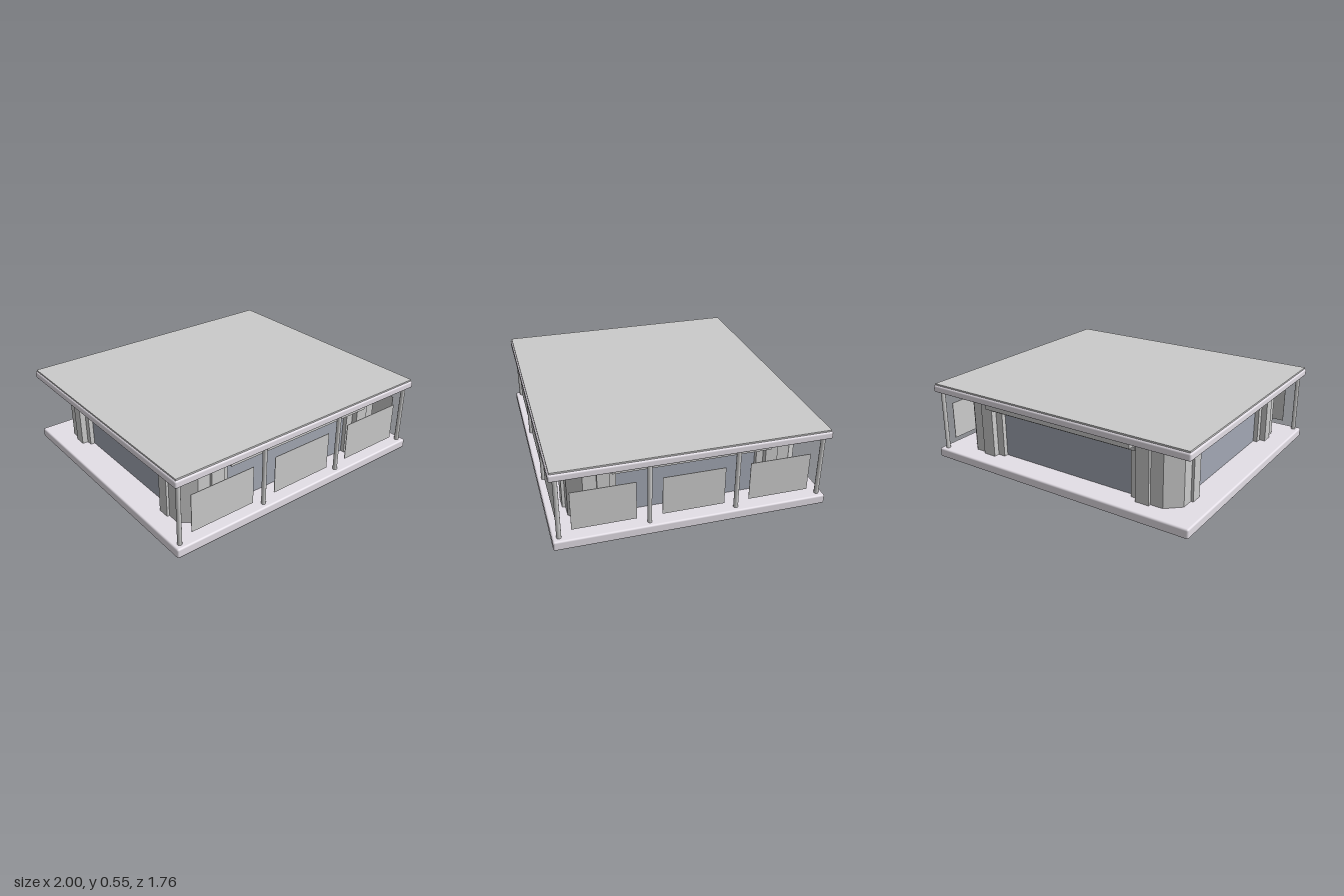
import * as THREE from 'three';
import { RoundedBoxGeometry } from 'three/addons/geometries/RoundedBoxGeometry.js';

const BASE_TOP = 0.065, ROOF_BOTTOM = 0.485;

const grey = new THREE.MeshStandardMaterial({ color: 0xcccccc });
const flatGrey = new THREE.MeshStandardMaterial({ color: 0xcccccc, flatShading: true });
const slabMat = new THREE.MeshStandardMaterial({ color: 0xe4dfe7 });
const glassMat = new THREE.MeshStandardMaterial({ color: 0xa3a8b4 });

export function createModel() {
  const model = new THREE.Group();
  model.name = 'pavilion';

  function add(name, geometry, material, x, y, z) {
    const mesh = new THREE.Mesh(geometry, material);
    mesh.name = name;
    mesh.position.set(x, y, z);
    model.add(mesh);
    return mesh;
  }
  // box given by its size and its bottom and top heights
  function box(name, material, w, d, y0, y1, x = 0, z = 0) {
    return add(name, new THREE.BoxGeometry(w, y1 - y0, d), material, x, (y0 + y1) / 2, z);
  }
  function slab(name, y0, y1) {
    add(name, new RoundedBoxGeometry(2, y1 - y0, 1.76, 2, 0.012), slabMat, 0, (y0 + y1) / 2, 0);
  }

  // floor and roof slabs, with a thin roof covering
  slab('baseSlab', 0, BASE_TOP);
  slab('roofSlab', ROOF_BOTTOM, 0.535);
  box('roofCover', grey, 1.98, 1.74, 0.53, 0.545);

  // glazed inner room
  box('windowWalls', glassMat, 1.6, 1.4, BASE_TOP, ROOF_BOTTOM);

  // corner piers: jamb, pilaster, chamfered corner, pilaster, jamb
  const pier = [
    [0.52, 0.455], [0.52, 0.73], [0.575, 0.73], [0.575, 0.77], [0.67, 0.77],
    [0.67, 0.75], [0.757, 0.75], [0.853, 0.664], [0.853, 0.58], [0.87, 0.58],
    [0.87, 0.5], [0.83, 0.5], [0.83, 0.455],
  ];
  for (const sx of [-1, 1]) {
    for (const sz of [-1, 1]) {
      const shape = new THREE.Shape(pier.map(([x, z]) => new THREE.Vector2(sx * x, -sz * z)));
      const geometry = new THREE.ExtrudeGeometry(shape, { depth: ROOF_BOTTOM - BASE_TOP, bevelEnabled: false });
      geometry.rotateX(-Math.PI / 2);
      add('cornerPier', geometry, flatGrey, 0, BASE_TOP, 0);
    }
  }

  // stepped cornices above the windows on all four sides
  for (const s of [-1, 1]) {
    box('cornice', grey, 1.14, 0.15, 0.435, ROOF_BOTTOM, 0, s * 0.755);
    box('corniceStep', grey, 1.14, 0.09, 0.4, 0.425, 0, s * 0.725);
    box('lintel', grey, 1.04, 0.03, 0.41, 0.45, 0, s * 0.705);
    box('cornice', grey, 0.15, 1, 0.435, ROOF_BOTTOM, s * 0.86, 0);
    box('corniceStep', grey, 0.09, 1, 0.4, 0.425, s * 0.83, 0);
    box('lintel', grey, 0.03, 0.91, 0.41, 0.45, s * 0.805, 0);
  }

  // slim posts along the front and left sides
  const postGeometry = new THREE.CylinderGeometry(0.015, 0.015, ROOF_BOTTOM - BASE_TOP + 0.01, 12);
  const postY = (BASE_TOP + ROOF_BOTTOM) / 2;
  for (const x of [-0.957, -0.319, 0.319, 0.957]) add('post', postGeometry, grey, x, postY, 0.838);
  for (const z of [0.28, -0.28, -0.838]) add('post', postGeometry, grey, 0.957, postY, z);

  // thin screens hanging between the posts
  for (const i of [-1, 0, 1]) {
    box('frontScreen', grey, 0.465, 0.004, 0.11, 0.373, i * 0.639, 0.838);
    box('sideScreen', grey, 0.004, 0.4, 0.11, 0.373, 0.96, i * 0.562);
  }

  return model;
}
